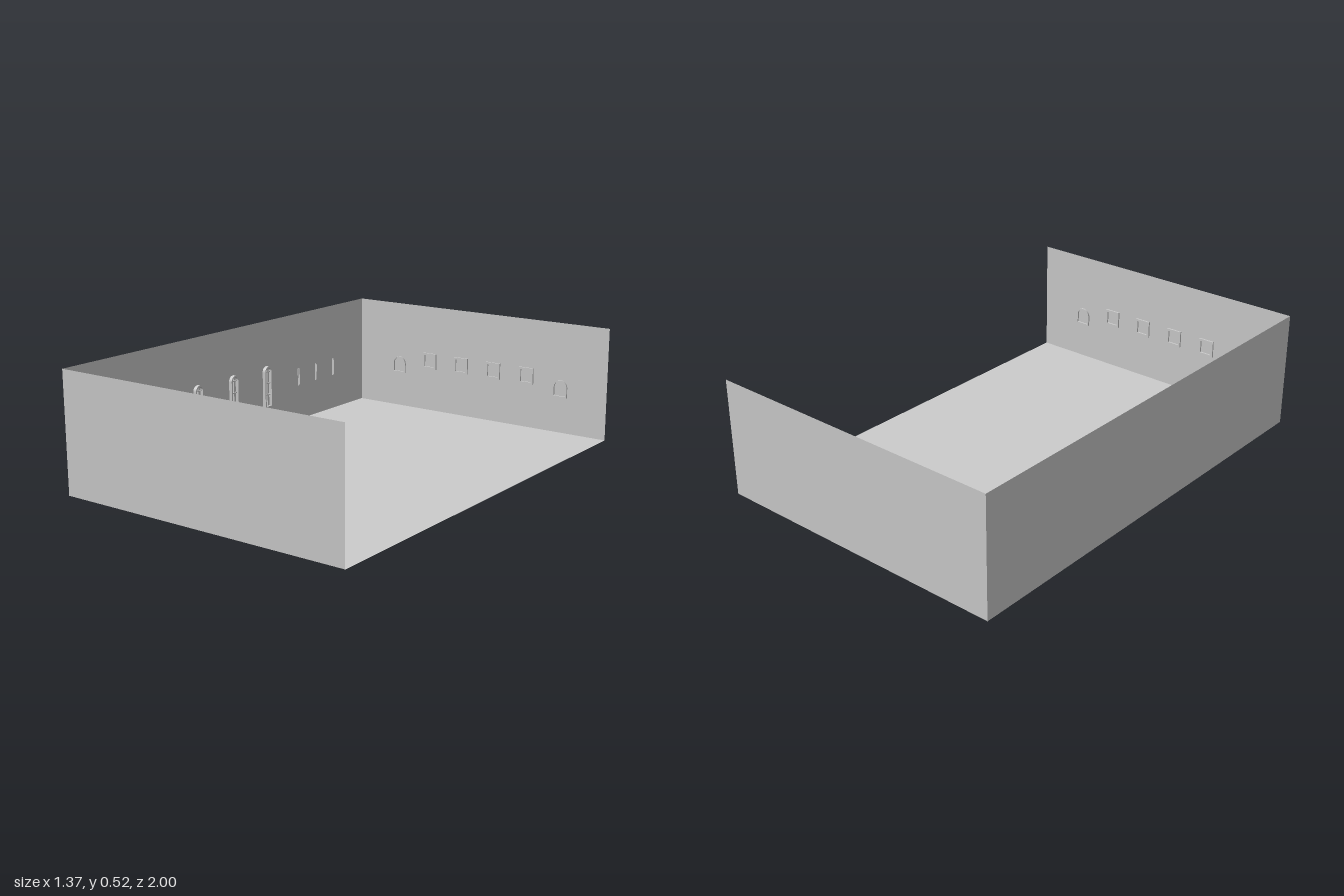
import * as THREE from 'three';

const W = 1.37, L = 2, H = 0.52;
const material = new THREE.MeshStandardMaterial({ color: 0xcccccc, side: THREE.DoubleSide });

// Outline standing on y = 0, with an optional round-arched top
function outline(target, w, h, arched, inset = 0) {
  const r = w / 2 - inset, y0 = inset;
  const spring = arched ? h - w / 2 : h - inset;
  target.moveTo(-r, y0);
  target.lineTo(r, y0);
  target.lineTo(r, spring);
  if (arched) target.absarc(0, spring, r, 0, Math.PI, false);
  else target.lineTo(-r, spring);
  target.lineTo(-r, y0);
  return target;
}

// Raised frame around an opening, facing +z
function frame(w, h, arched, border, depth) {
  const shape = outline(new THREE.Shape(), w, h, arched);
  shape.holes.push(outline(new THREE.Path(), w, h, arched, border));
  const geo = new THREE.ExtrudeGeometry(shape, { depth, bevelEnabled: false, curveSegments: 12 });
  return new THREE.Mesh(geo, material);
}

function bar(name, w, h, d, x, y) {
  const mesh = new THREE.Mesh(new THREE.BoxGeometry(w, h, d), material);
  mesh.name = name;
  mesh.position.set(x, y, d / 2);
  return mesh;
}

function makeWall(name, width) {
  const wall = new THREE.Group();
  wall.name = name;
  const panel = new THREE.Mesh(new THREE.PlaneGeometry(width, H), material);
  panel.name = 'wallPanel';
  panel.position.y = H / 2;
  wall.add(panel);
  return wall;
}

function addFrame(wall, name, x, y, w, h, arched, border, depth) {
  const mesh = frame(w, h, arched, border, depth);
  mesh.name = name;
  mesh.position.set(x, y, 0);
  wall.add(mesh);
}

// End wall: four square windows between two lower arched ones
function makeEndWall(name) {
  const wall = makeWall(name, W);
  for (const x of [-0.27, -0.09, 0.09, 0.27])
    addFrame(wall, 'squareWindow', x, 0.21, 0.076, 0.078, false, 0.01, 0.008);
  for (const x of [-0.45, 0.45])
    addFrame(wall, 'archedWindow', x, 0.17, 0.072, 0.082, true, 0.006, 0.008);
  return wall;
}

// Long wall: three tall arched windows flanked by narrow slits
function makeLongWall() {
  const wall = makeWall('longWall', L);
  for (const x of [-0.236, 0, 0.236]) {
    const win = new THREE.Group();
    win.name = 'tallArchedWindow';
    win.position.set(x, 0.11, 0);
    const outer = frame(0.052, 0.197, true, 0.007, 0.016);
    outer.name = 'windowFrame';
    win.add(outer, bar('mullion', 0.004, 0.185, 0.008, 0, 0.097));
    for (const y of [0.06, 0.115, 0.17]) win.add(bar('glazingBar', 0.042, 0.004, 0.008, 0, y));
    wall.add(win);
  }
  for (const side of [-1, 1])
    for (const x of [0.477, 0.612, 0.75])
      addFrame(wall, 'slitWindow', side * x, 0.17, 0.011, 0.082, false, 0.003, 0.006);
  return wall;
}

export function createModel() {
  const room = new THREE.Group();
  room.name = 'openRoom';

  const floor = new THREE.Mesh(new THREE.PlaneGeometry(W, L), material);
  floor.name = 'floor';
  floor.rotation.x = -Math.PI / 2;

  const back = makeEndWall('backWall');
  back.position.z = -L / 2;

  const front = makeEndWall('frontWall');
  front.position.z = L / 2;
  front.rotation.y = Math.PI;

  const long = makeLongWall();
  long.position.x = -W / 2;
  long.rotation.y = Math.PI / 2;

  room.add(floor, back, front, long);
  return room;
}
